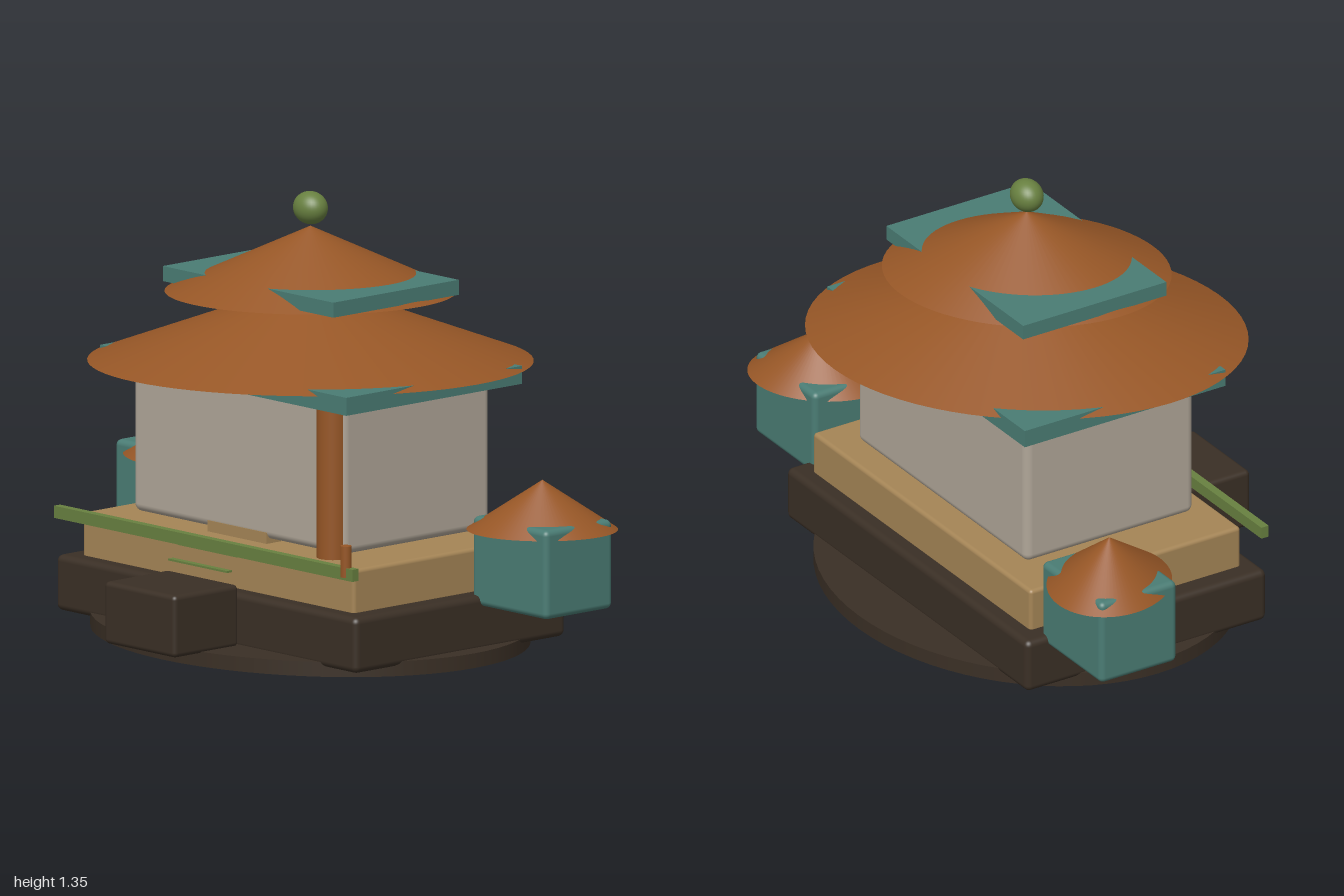
import * as THREE from 'three';
import { RoundedBoxGeometry } from 'three/addons/geometries/RoundedBoxGeometry.js';

const mat = (name, color) => {
  const m = new THREE.MeshStandardMaterial({ color });
  m.name = name;
  return m;
};

export function createModel() {
  const model = new THREE.Group();
  model.name = 'pagoda';
  const tile = mat('terracotta', 0x965626);
  const teal = mat('teal', 0x4a7c74);
  const green = mat('moss green', 0x688040);
  const tan = mat('sandstone', 0xa58556);
  const dark = mat('dark earth', 0x3a2f25);
  const plaster = mat('plaster', 0xb0a698);
  const CZ = -0.04; // depth of the central axis

  const add = (name, geo, material, x, y, z, parent = model) => {
    const mesh = new THREE.Mesh(geo, material);
    mesh.name = name;
    mesh.position.set(x, y, z);
    parent.add(mesh);
    return mesh;
  };
  // Box given by its extents, rounded when r > 0
  const box = (name, material, [x0, x1], [y0, y1], [z0, z1], r = 0, parent = model) => {
    const s = [x1 - x0, y1 - y0, z1 - z0];
    const geo = r ? new RoundedBoxGeometry(...s, 4, r) : new THREE.BoxGeometry(...s);
    return add(name, geo, material, (x0 + x1) / 2, (y0 + y1) / 2, (z0 + z1) / 2, parent);
  };
  // Elliptical cone roof whose long axis lies on a diagonal
  const roof = (name, radius, y0, y1, x, z, turn = 1, parent = model) => {
    const geo = new THREE.ConeGeometry(1, y1 - y0, 72);
    geo.scale(radius * 1.094, 1, radius * 0.896);
    geo.rotateY(turn * Math.PI / 4);
    return add(name, geo, tile, x, (y0 + y1) / 2, z, parent);
  };

  // Foundation
  const disc = new THREE.CylinderGeometry(1, 1, 0.045, 72);
  disc.scale(0.725, 1, 0.6);
  add('groundDisc', disc, dark, 0, 0.0225, CZ);
  box('base', dark, [-0.665, 0.665], [0.03, 0.2], [-0.47, 0.388], 0.02);
  box('entranceBlock', dark, [-0.157, 0.157], [0.04, 0.23], [0.395, 0.658], 0.015);
  box('platform', tan, [-0.6, 0.6], [0.19, 0.332], [-0.416, 0.336], 0.012);

  // Main hall
  box('hall', plaster, [-0.467, 0.467], [0.345, 0.84], [-0.345, 0.257], 0.025);
  box('doorStep', tan, [-0.13, 0.13], [0.33, 0.366], [0.2, 0.259]);
  add('frontColumn', new THREE.CylinderGeometry(0.05, 0.05, 0.46, 32), tile, 0.41, 0.56, 0.245);
  box('lowerEaves', teal, [-0.545, 0.545], [0.793, 0.848], [-0.4, 0.316]);
  roof('lowerRoof', 0.612, 0.834, 1.08, 0, CZ);

  // Upper roof, its eaves and the finial
  box('upperEaves', teal, [-0.377, 0.377], [1.054, 1.1], [-0.297, 0.214]);
  roof('upperRoof', 0.4, 1.045, 1.245, 0, CZ);
  const ball = new THREE.SphereGeometry(0.05, 32, 24);
  ball.scale(1.15, 1, 0.96);
  add('finial', ball, green, 0, 1.3, CZ);

  // Front railing with its post and thin step edges
  box('railing', green, [-0.665, 0.655], [0.312, 0.349], [0.367, 0.393]);
  add('railingPost', new THREE.CylinderGeometry(0.017, 0.017, 0.095, 20), tile, 0.615, 0.368, 0.382);
  box('stepEdge', green, [-0.13, 0.13], [0.265, 0.271], [0.4, 0.42]);
  box('stepEdge', green, [-0.13, 0.13], [0.307, 0.313], [0.36, 0.38]);

  // Mirrored side turrets and roof knobs
  for (const s of [-1, 1]) {
    const turret = new THREE.Group();
    turret.name = s > 0 ? 'leftTurret' : 'rightTurret';
    turret.position.set(s * 0.79, 0, -0.257);
    box('turretBody', teal, [-0.165, 0.165], [0.168, 0.44], [-0.137, 0.137], 0.018, turret);
    roof('turretRoof', 0.208, 0.405, 0.556, 0, 0, s, turret);
    model.add(turret);
    add('roofKnob', new THREE.SphereGeometry(0.028, 20, 14), teal, s * 0.3, 1.06, CZ);
  }
  return model;
}
